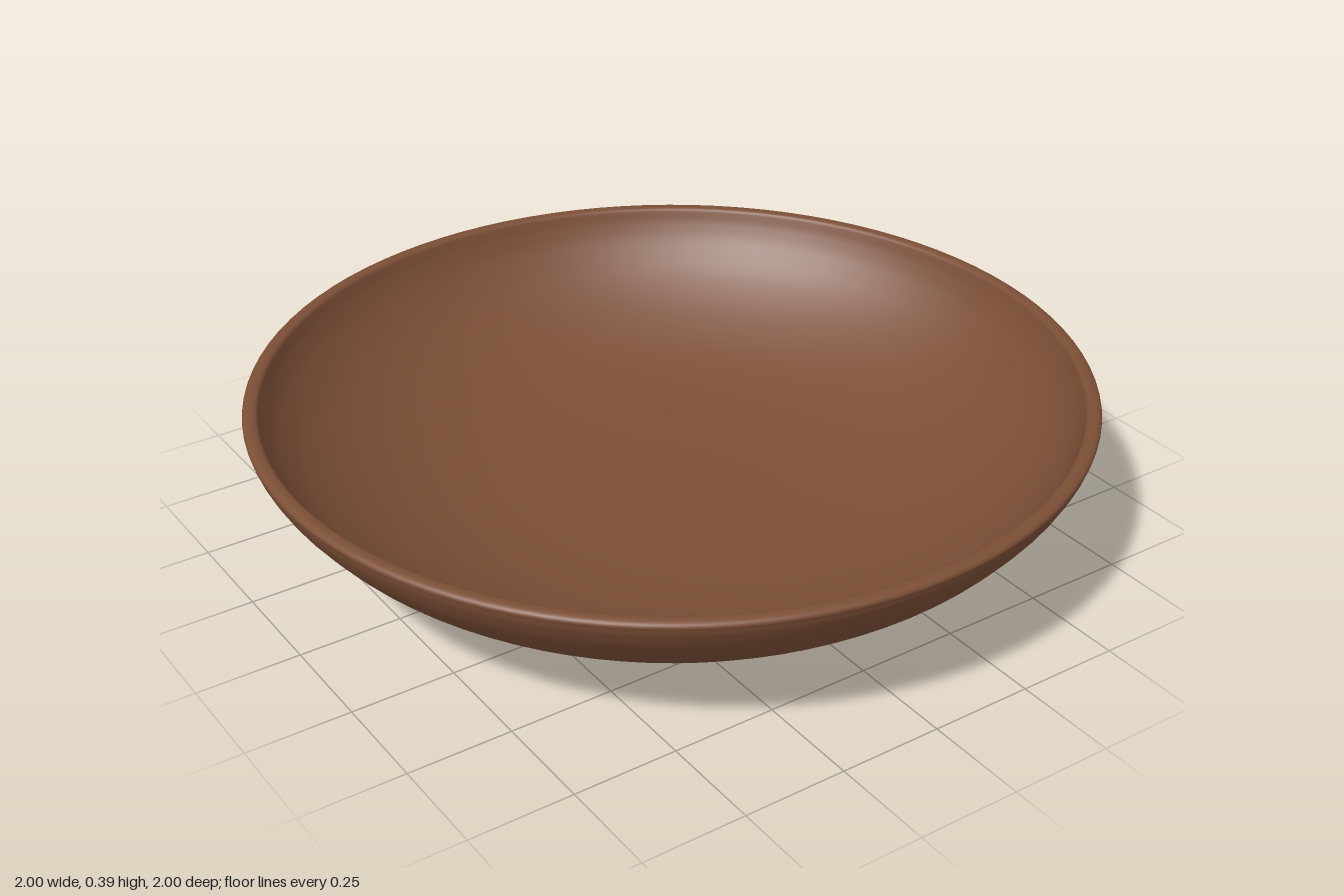
import * as THREE from 'three';

const SEGMENTS = 96;

export function createModel() {
  const group = new THREE.Group();
  group.name = 'bowl';
  const clay = new THREE.MeshStandardMaterial({ color: 0x7b4e36 });
  clay.name = 'brown clay';

  // Revolves a smooth curve through [radius, height] points
  const addTurned = (name, points, steps) => {
    const curve = new THREE.SplineCurve(points.map(([r, y]) => new THREE.Vector2(r, y)));
    const profile = curve.getPoints(steps);
    profile.forEach((p) => { p.x = Math.max(p.x, 0); });
    const mesh = new THREE.Mesh(new THREE.LatheGeometry(profile, SEGMENTS), clay);
    mesh.name = name;
    group.add(mesh);
  };

  // Outer shell, from the centre of the base up to the rim
  addTurned('outerShell', [
    [0, 0], [0.15, 0.002], [0.32, 0.01], [0.5, 0.034], [0.66, 0.082],
    [0.79, 0.148], [0.89, 0.222], [0.96, 0.302], [0.99, 0.352], [0.998, 0.375],
  ], 48);

  // Rounded lip
  addTurned('rim', [
    [0.998, 0.375], [1, 0.382], [0.996, 0.389], [0.986, 0.393],
    [0.975, 0.393], [0.966, 0.389], [0.962, 0.38],
  ], 18);

  // Inner surface, from the lip down to the centre of the floor
  addTurned('innerSurface', [
    [0.962, 0.38], [0.95, 0.35], [0.922, 0.304], [0.86, 0.238], [0.765, 0.172],
    [0.64, 0.112], [0.49, 0.068], [0.32, 0.045], [0.15, 0.037], [0, 0.035],
  ], 48);

  return group;
}
